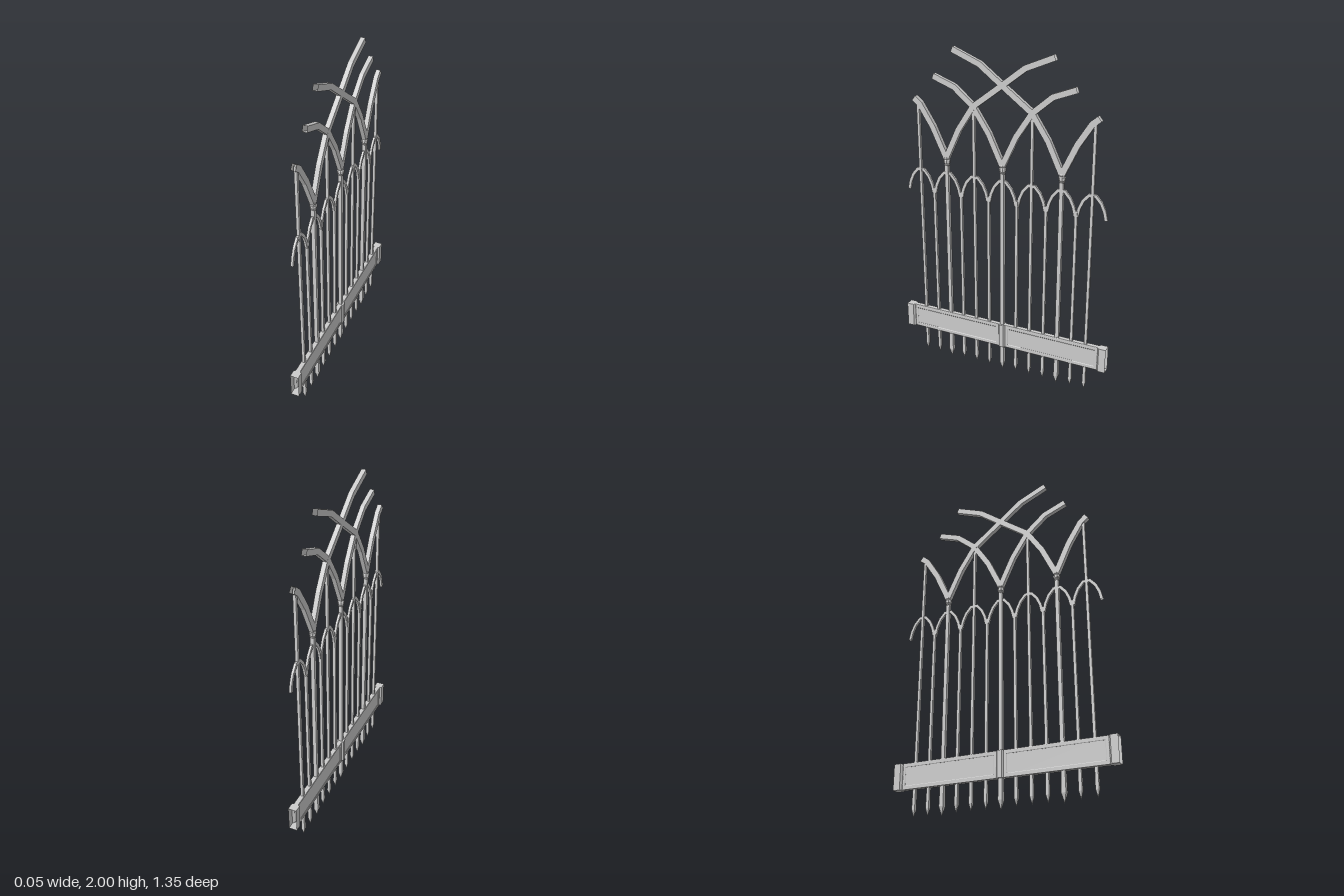
import * as THREE from 'three';

const mat = new THREE.MeshStandardMaterial({ color: 0xcccccc, flatShading: true, side: THREE.DoubleSide });
const STEP = 0.0905; // spacing between neighbouring bars

export function createModel() {
  const root = new THREE.Group();
  const add = (name, geo, x = 0, y = 0, z = 0) => {
    const m = new THREE.Mesh(geo, mat);
    m.name = name;
    m.position.set(x, y, z);
    root.add(m);
  };

  // Turned profile [radius to the flat side, y] with flats facing the axes
  const turned = (name, profile, sides, z) => {
    const k = 1 / Math.cos(Math.PI / sides);
    const pts = profile.map(([r, y]) => new THREE.Vector2(r * k, y));
    add(name, new THREE.LatheGeometry(pts, sides, Math.PI / sides), 0, 0, z);
  };

  // Open-ended rectangular tube along [z, y, depth] points, with mitred corners
  const tube = (name, pts, width) => {
    const p = pts.map(([z, y]) => new THREE.Vector2(z, y));
    const pos = [], idx = [];
    p.forEach((q, i) => {
      const a = q.clone().sub(p[Math.max(i - 1, 0)]).normalize();
      const b = p[Math.min(i + 1, p.length - 1)].clone().sub(q).normalize();
      const t = a.clone().add(b).normalize();
      const mitre = t.dot(i ? a : b);
      const n = new THREE.Vector2(-t.y, t.x).multiplyScalar(width / 2 / mitre);
      const d = pts[i][2] / 2;
      for (const [sx, sn] of [[-1, 1], [1, 1], [1, -1], [-1, -1]]) pos.push(sx * d, q.y + sn * n.y, q.x + sn * n.x);
      if (!i) return;
      for (let k = 0; k < 4; k++) {
        const e = i * 4 + k, f = i * 4 + (k + 1) % 4;
        idx.push(e - 4, f, f - 4, e - 4, e, f);
      }
    });
    const geo = new THREE.BufferGeometry();
    geo.setAttribute('position', new THREE.Float32BufferAttribute(pos, 3));
    geo.setIndex(idx);
    const flat = geo.toNonIndexed();
    flat.computeVertexNormals();
    add(name, flat);
  };

  // Square upright bars with pointed feet
  for (let i = -6; i <= 6; i++) {
    const main = i % 4 === 0;
    const top = main ? 1.36 : i % 2 === 0 ? 1.68 : 1.15;
    const r = main ? 0.0115 : 0.0085;
    const foot = main ? 0.0135 : 0.01;
    turned(main ? 'mainBar' : 'bar', [[0, main ? 0 : 0.01], [foot, 0.055], [r, 0.18], [r, top], [0, top]], 4, i * STEP);
  }

  // Row of small arches
  const half = [[0.085, 1.12], [0.074, 1.17], [0.053, 1.217], [0.02, 1.255]];
  const arch = [...half, ...half.map(([z, y]) => [-z, y]).reverse()];
  for (let i = -3; i <= 3; i++) {
    tube('smallArch', arch.map(([z, y]) => [z + i * 2 * STEP, y, 0.014]), 0.018);
  }

  // Branching ribs: offsets from the knot they spring from
  const start = [[0, 1.35], [0.085, 1.53]];
  const long = [...start, [0.181, 1.675], [0.362, 1.81], [0.5, 1.915], [0.67, 1.985]];
  const medium = [...start, [0.181, 1.675], [0.3, 1.775], [0.434, 1.825]];
  const short = [...start, [0.165, 1.655], [0.205, 1.687]];
  for (const s of [-1, 1]) {
    tube('longRib', long.map(([z, y]) => [s * (4 * STEP - z), y, 0.027]), 0.034);
    tube('mediumRib', medium.map(([z, y]) => [s * z, y, 0.0265]), 0.034);
    tube('shortRib', short.map(([z, y]) => [s * (4 * STEP + z), y, 0.027]), 0.036);
  }

  // Ringed knots where the ribs spring from the main bars
  const knot = [[0, 1.3], [0.013, 1.302], [0.017, 1.309], [0.015, 1.314], [0.019, 1.32], [0.019, 1.335],
    [0.015, 1.341], [0.017, 1.347], [0.013, 1.356], [0, 1.358]];
  for (const i of [-4, 0, 4]) turned('knot', knot, 8, i * STEP);

  // Hollow bottom rail: flared end collars and centre strap
  const yMid = 0.248, height = 0.154;
  const plan = [[0.013, 0.046], [0.021, 0.026], [0.622, 0.026], [0.632, 0.05], [0.675, 0.05]];
  const rail = [...plan.map(([z, d]) => [-z, yMid, d]).reverse(), ...plan.map(([z, d]) => [z, yMid, d])];
  tube('rail', rail, height);

  // Raised bevelled borders round the panels on both faces
  const rect = (Type, w, h) => new Type([[-w, -h], [w, -h], [w, h], [-w, h]].map(([a, b]) => new THREE.Vector2(a, b)));
  const border = rect(THREE.Shape, 0.297, height / 2 - 0.003);
  border.holes.push(rect(THREE.Path, 0.283, 0.056));
  const bevel = { depth: 0.001, bevelThickness: 0.002, bevelSize: 0.003, bevelSegments: 1 };
  for (const s of [-1, 1]) {
    for (const side of [-1, 1]) {
      const geo = new THREE.ExtrudeGeometry(border, bevel).translate(0, 0, -0.0005).rotateY(-Math.PI / 2);
      add('panelBorder', geo, side * 0.013, yMid, s * 0.3215);
    }
  }

  return root;
}
